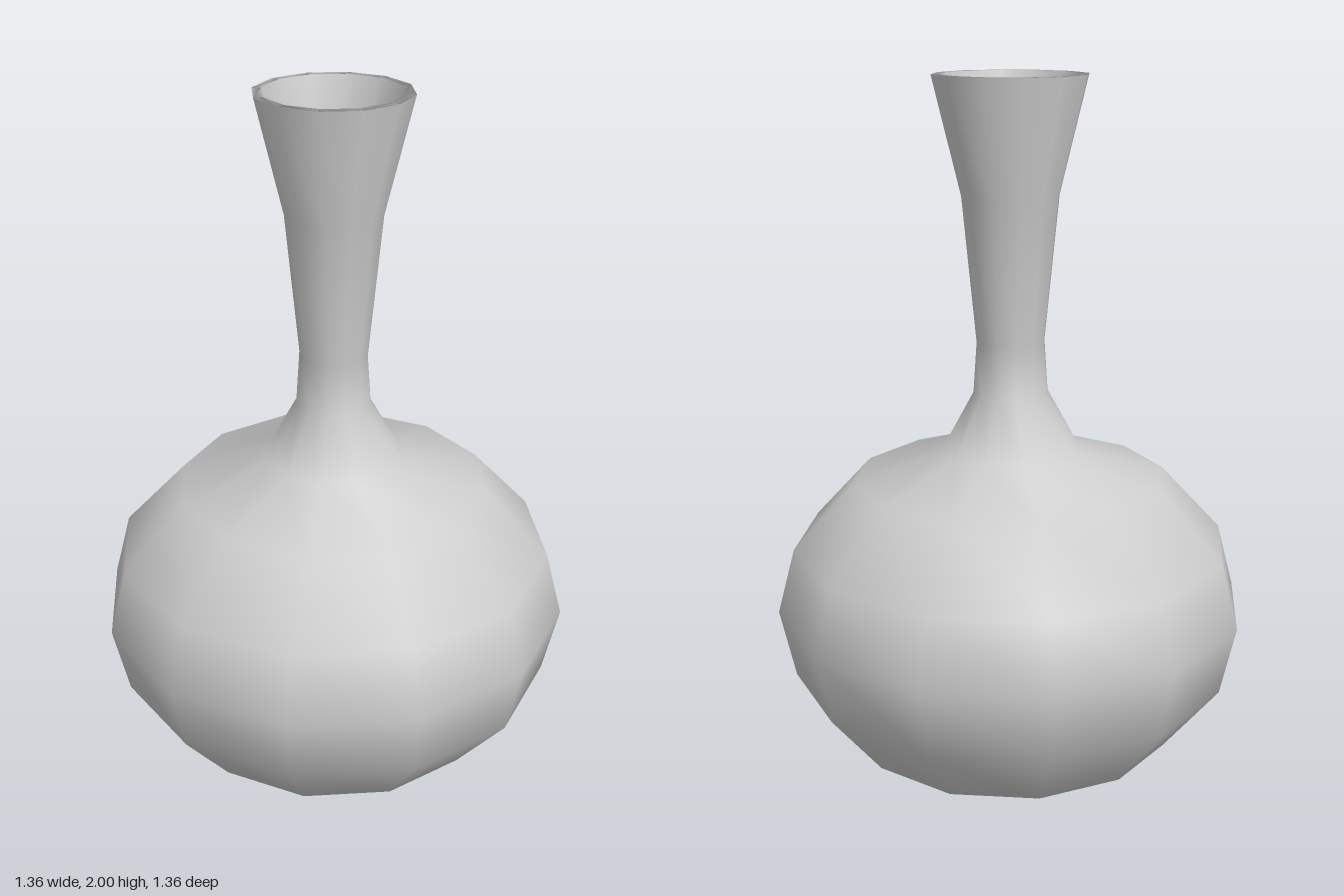
import * as THREE from 'three';

const SIDES = 12;

export function createModel() {
  const model = new THREE.Group();
  model.name = 'vase';
  const material = new THREE.MeshStandardMaterial({ color: 0xcccccc });

  // Outer profile [radius, height], from the foot up to the lip
  const outer = [
    [0.31, 0], [0.477, 0.09], [0.636, 0.287], [0.68, 0.488], [0.63, 0.676],
    [0.45, 0.87], [0.197, 0.957], [0.107, 1.12], [0.097, 1.267], [0.137, 1.675], [0.216, 2],
  ];

  // Inner profile, from the lip down to the inside floor
  const inner = [
    [0.19, 2], [0.112, 1.675], [0.072, 1.267], [0.08, 1.11], [0.17, 0.93],
    [0.43, 0.845], [0.605, 0.665], [0.655, 0.488], [0.612, 0.295], [0.46, 0.11], [0.3, 0.03],
  ];

  const addLathe = (name, profile) => {
    const points = profile.map(([r, y]) => new THREE.Vector2(r, y));
    const mesh = new THREE.Mesh(new THREE.LatheGeometry(points, SIDES), material);
    mesh.name = name;
    model.add(mesh);
  };

  // Bulb, neck, lip and hollow inside as one smooth wall
  addLathe('vaseWall', [...outer, ...inner]);

  // Flat foot underneath and flat floor inside
  addLathe('foot', [[0, 0], [0.31, 0]]);
  addLathe('insideFloor', [[0.3, 0.03], [0, 0.03]]);

  return model;
}
